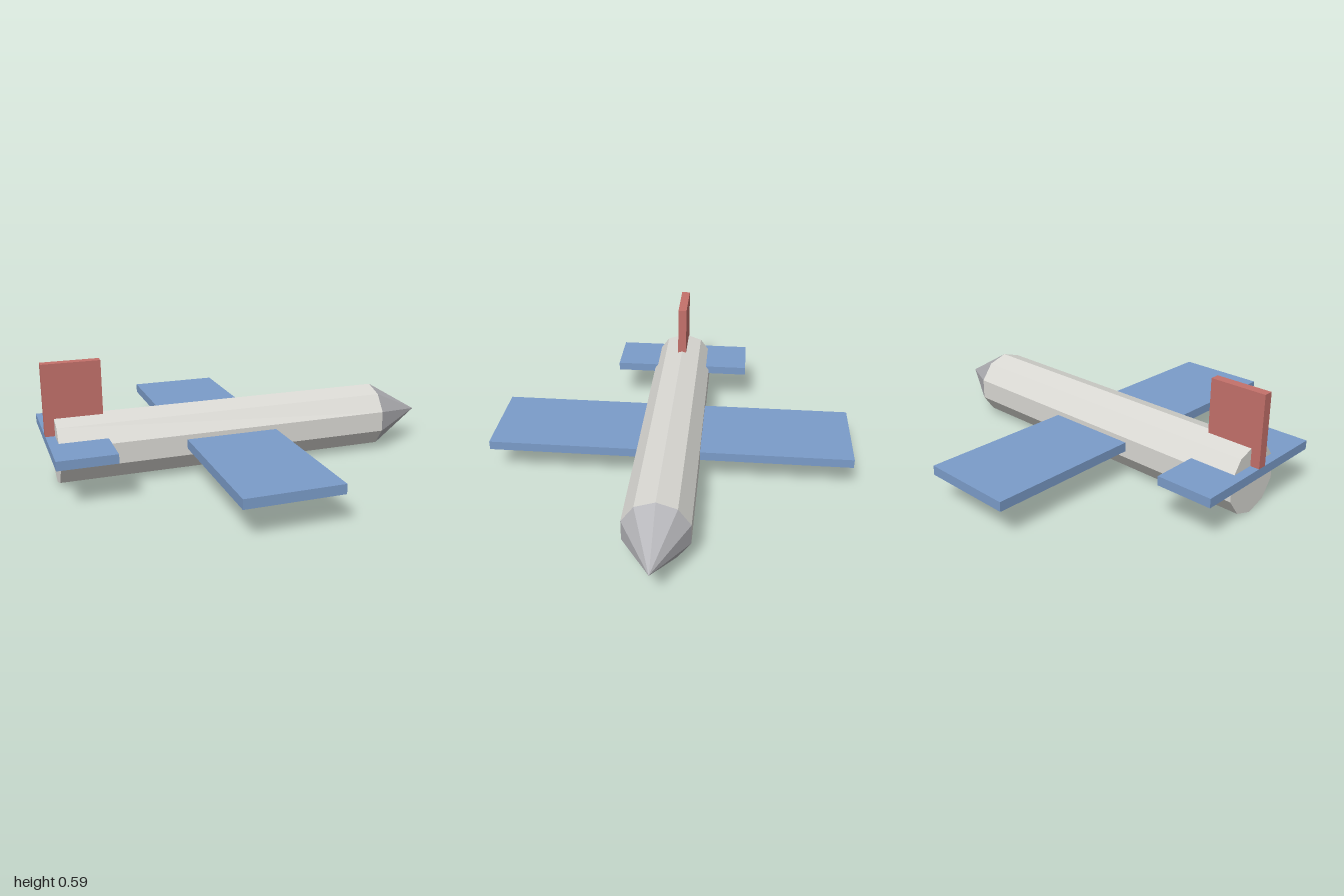
import * as THREE from 'three';

const material = (name, color, flatShading = false) => {
  const m = new THREE.MeshStandardMaterial({ color, flatShading });
  m.name = name;
  return m;
};

export function createModel() {
  const model = new THREE.Group();
  model.name = 'airplane';

  const bodyGrey = material('body grey', 0xdad9d4, true);
  const noseGrey = material('nose grey', 0xb2b2b6, true);
  const wingBlue = material('wing blue', 0x7b9cc9);
  const finRed = material('fin red', 0xc4716b);

  const radius = 0.166, sides = 10;

  // Ten-sided tube along x, with a corner at the top and bottom
  const addTube = (name, x0, x1, rearRadius, frontRadius, mat) => {
    const g = new THREE.CylinderGeometry(frontRadius, rearRadius, x1 - x0, sides, 1, false, Math.PI / 2);
    g.rotateZ(-Math.PI / 2);
    const mesh = new THREE.Mesh(g, mat);
    mesh.name = name;
    mesh.position.set((x0 + x1) / 2, radius, 0);
    model.add(mesh);
  };

  // Box given by its x and y limits and its full width in z
  const addSlab = (name, x0, x1, y0, y1, width, mat) => {
    const mesh = new THREE.Mesh(new THREE.BoxGeometry(x1 - x0, y1 - y0, width), mat);
    mesh.name = name;
    mesh.position.set((x0 + x1) / 2, (y0 + y1) / 2, 0);
    model.add(mesh);
  };

  // Fuselage and pointed nose
  addTube('fuselage', -0.955, 0.72, radius, radius, bodyGrey);
  addTube('noseCone', 0.72, 1, radius, 0, noseGrey);

  // Wings and tail surfaces
  addSlab('mainWing', -0.348, 0.114, 0.148, 0.194, 1.856, wingBlue);
  addSlab('tailplane', -1, -0.724, 0.196, 0.24, 0.744, wingBlue);
  addSlab('tailFin', -1, -0.724, 0.22, 0.588, 0.046, finRed);

  return model;
}
